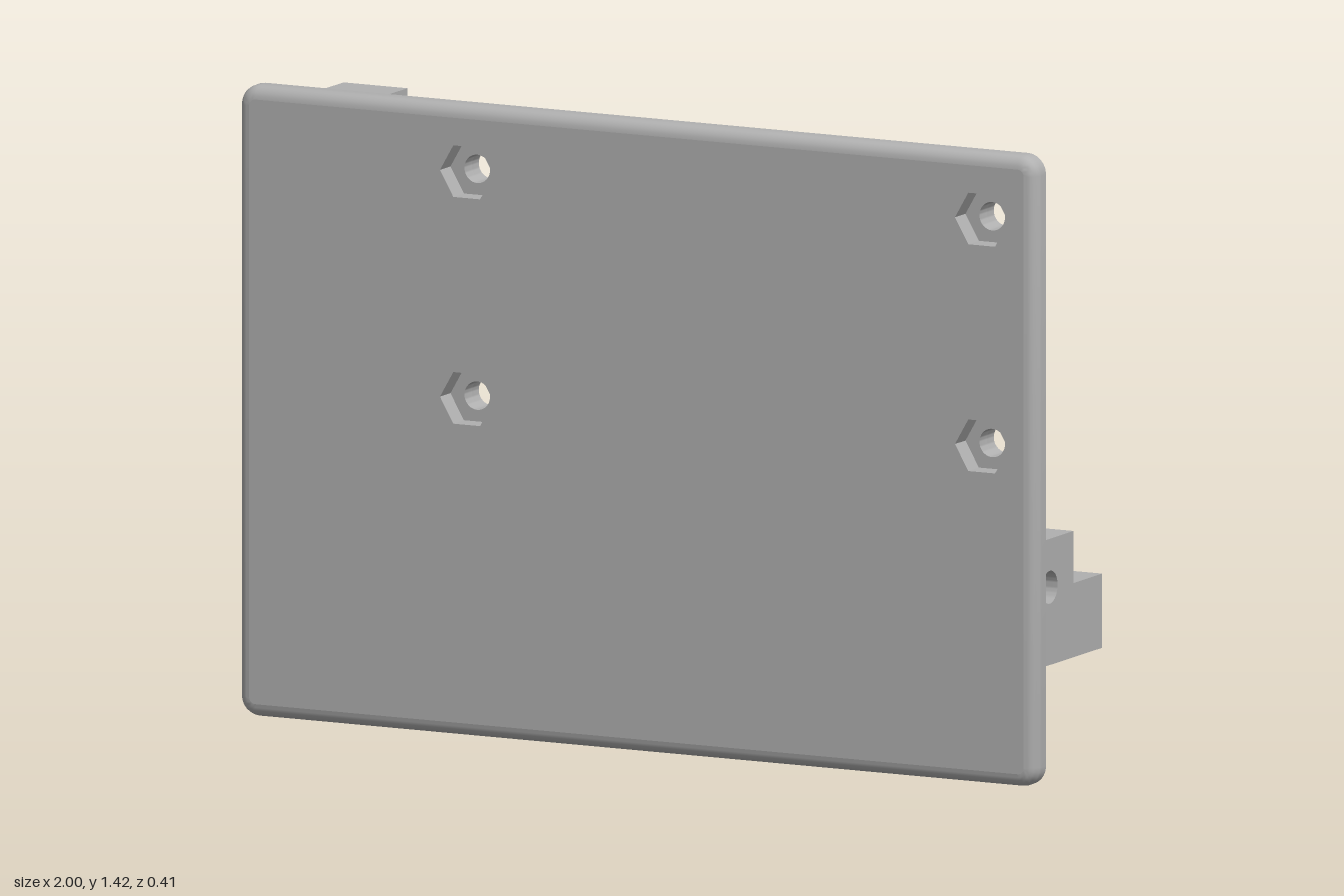
import * as THREE from 'three';
import { toCreasedNormals } from 'three/addons/utils/BufferGeometryUtils.js';

const grey = new THREE.MeshStandardMaterial({ color: 0xb0b0b0, side: THREE.DoubleSide });
grey.name = 'grey plastic';

const shapeOf = (pts) => new THREE.Shape(pts.map(([u, v]) => new THREE.Vector2(u, v)));
const rect = (u0, u1, v0, v1) => shapeOf([[u0, v0], [u1, v0], [u1, v1], [u0, v1]]);
const round = (u, v, r) => new THREE.Path().absarc(u, v, r, 0, Math.PI * 2, true);
const disc = (u, v, r) => new THREE.Shape().absarc(u, v, r, 0, Math.PI * 2, false);
function hex(u, v, r, turn = 0) {
  const pts = [];
  for (let i = 0; i < 6; i++) {
    const a = turn + (i * Math.PI) / 3;
    pts.push(new THREE.Vector2(u + r * Math.cos(a), v + r * Math.sin(a)));
  }
  return new THREE.Path(pts);
}

function addMesh(parent, name, geometry) {
  const mesh = new THREE.Mesh(geometry, grey);
  mesh.name = name;
  parent.add(mesh);
}

// Extrude a shape between two positions on an axis.
// Shape coordinates: z axis (x, y), x axis (-z, y), y axis (x, -z).
function slab(parent, name, axis, from, to, shape, holes = []) {
  shape.holes.push(...holes);
  const depth = Math.abs(to - from);
  let g = new THREE.ExtrudeGeometry(shape, { depth, bevelEnabled: false, curveSegments: 24 });
  g.translate(0, 0, Math.min(from, to));
  if (axis === 'x') g.rotateY(Math.PI / 2);
  if (axis === 'y') g.rotateX(-Math.PI / 2);
  addMesh(parent, name, toCreasedNormals(g, 0.6));
}

const HEIGHT = 1.42, BACK = 0.155, FRONT = 0.205, EDGE = 0.03, CORNER = 0.045;
const OUT = 0.95, INN = 0.79, STEP = -0.07, END = -0.205;
const HOLE = 0.037, NUT = 0.073, HOLE_Z = 0.043;

// Rounded rectangle outline of the plate, moved inwards by an inset
function outline(inset) {
  const r = CORNER - inset, pts = [];
  const corners = [[1, 1], [-1, 1], [-1, -1], [1, -1]];
  corners.forEach(([sx, sy], q) => {
    for (let i = 0; i <= 6; i++) {
      const a = (q + i / 6) * Math.PI / 2;
      pts.push([sx * (1 - CORNER) + r * Math.cos(a), HEIGHT / 2 + sy * (HEIGHT / 2 - CORNER) + r * Math.sin(a)]);
    }
  });
  return pts;
}

// Plate rim: sharp at the back, rounded at the front
function rimGeometry() {
  const profile = [[EDGE, BACK], [0, BACK]];
  for (let i = 0; i <= 6; i++) {
    const a = (i / 6) * Math.PI / 2;
    profile.push([EDGE * (1 - Math.cos(a)), FRONT - EDGE + EDGE * Math.sin(a)]);
  }
  const pos = [], index = [];
  let n = 0;
  for (const [inset, z] of profile) {
    const loop = outline(inset);
    n = loop.length;
    for (const [x, y] of loop) pos.push(x, y, z);
  }
  for (let j = 0; j < profile.length - 1; j++) {
    for (let i = 0; i < n; i++) {
      const a = j * n + i, b = j * n + (i + 1) % n;
      index.push(a, b, b + n, a, b + n, a + n);
    }
  }
  const g = new THREE.BufferGeometry();
  g.setAttribute('position', new THREE.Float32BufferAttribute(pos, 3));
  g.setIndex(index);
  return toCreasedNormals(g, 0.6);
}

// Rearward arm with a screw hole in its end and a nut slot on its inner side
function slottedArm(parent, s, y0, y1, accessHole) {
  const ym = (y0 + y1) / 2, xm = s * (OUT + INN) / 2, m = 0.018;
  const section = () => rect(s * INN, s * OUT, y0, y1);
  slab(parent, 'armEnd', 'z', END, -0.18, section(), [round(xm, ym, 0.033)]);
  const deep = s * (OUT - 0.03), a = s * INN, b = s * OUT;
  slab(parent, 'armNutSlot', 'z', -0.18, -0.128,
    shapeOf([[a, y0], [b, y0], [b, y1], [a, y1], [a, y1 - m], [deep, y1 - m], [deep, y0 + m], [a, y0 + m]]));
  if (accessHole) {
    const plan = () => rect(a, b, -STEP, 0.128);
    slab(parent, 'armRootLower', 'y', y0, y0 + 0.08, plan(), [round(xm, 0.1, 0.027)]);
    slab(parent, 'armRootUpper', 'y', y0 + 0.08, y1, plan());
  } else {
    slab(parent, 'armRoot', 'z', -0.128, STEP, section(), [round(xm, ym, 0.033)]);
  }
}

// Side block with a cross hole and a hexagonal nut pocket on its inner side
function nutBlock(parent, s, inner, y0, y1, holeY) {
  const mid = OUT - 0.06;
  const section = () => rect(-BACK, -STEP, y0, y1);
  slab(parent, 'blockOuter', 'x', s * OUT, s * mid, section(), [round(-HOLE_Z, holeY, HOLE)]);
  slab(parent, 'blockInner', 'x', s * mid, s * inner, section(), [hex(-HOLE_Z, holeY, NUT)]);
}

export function createModel() {
  const model = new THREE.Group();
  model.name = 'mountingPlate';
  const group = (name) => {
    const g = new THREE.Group();
    g.name = name;
    model.add(g);
    return g;
  };

  // Plate and stepped standoffs
  const posts = [];
  for (const x of [-0.425, 0.865]) for (const y of [0.76, 1.27]) posts.push([x, y]);
  const plate = group('plate');
  slab(plate, 'plateCore', 'z', BACK, FRONT, shapeOf(outline(EDGE)), posts.map(([x, y]) => hex(x, y, 0.067)));
  addMesh(plate, 'plateRim', rimGeometry());
  for (const [x, y] of posts) {
    const post = group('standoff');
    slab(post, 'standoffBase', 'z', 0.12, BACK, disc(x, y, 0.082), [round(x, y, 0.032)]);
    slab(post, 'standoffTop', 'z', 0.087, 0.12, disc(x, y, 0.067), [round(x, y, 0.032)]);
  }

  // Stepped brackets near the bottom on both sides
  const left = group('leftBracket');
  nutBlock(left, 1, INN, 0.25, 0.534, 0.425);
  slottedArm(left, 1, 0.25, 0.417, false);
  const right = group('rightBracket');
  nutBlock(right, -1, INN, 0.25, 0.6, 0.495);
  slottedArm(right, -1, 0.25, 0.417, true);

  // Upper right arm and the nut block below it
  const upper = group('upperArm');
  slab(upper, 'armBody', 'z', STEP, BACK, rect(-OUT, -INN, 1.215, 1.365));
  slottedArm(upper, -1, 1.215, 1.365, false);
  nutBlock(group('sideNutBlock'), -1, 0.83, 0.96, 1.18, 1.07);

  // Bottom nut block with its pocket on top
  const bottom = group('bottomNutBlock');
  const plan = () => rect(0.49, 0.71, -BACK, -STEP);
  slab(bottom, 'blockLower', 'y', 0.055, 0.115, plan(), [round(0.6, -0.037, HOLE)]);
  slab(bottom, 'blockUpper', 'y', 0.115, 0.173, plan(), [hex(0.6, -0.037, NUT, Math.PI / 6)]);

  // U-shaped bottom flange with countersunk holes
  const flange = group('bottomFlange');
  const u = () => shapeOf([[-0.935, -BACK], [-0.14, -BACK], [-0.14, 0.197], [-0.38, 0.197],
    [-0.38, -0.01], [-0.695, -0.01], [-0.695, 0.197], [-0.935, 0.197]]);
  const xs = [-0.867, -0.208];
  slab(flange, 'flangeLower', 'y', 0.055, 0.085, u(), xs.map((x) => round(x, 0.1, 0.055)));
  slab(flange, 'flangeUpper', 'y', 0.085, 0.118, u(), xs.map((x) => round(x, 0.1, 0.032)));
  for (const x of xs) {
    const cone = new THREE.CylinderGeometry(0.032, 0.055, 0.03, 32, 1, true);
    addMesh(flange, 'countersink', cone.translate(x, 0.07, -0.1));
  }
  return model;
}
